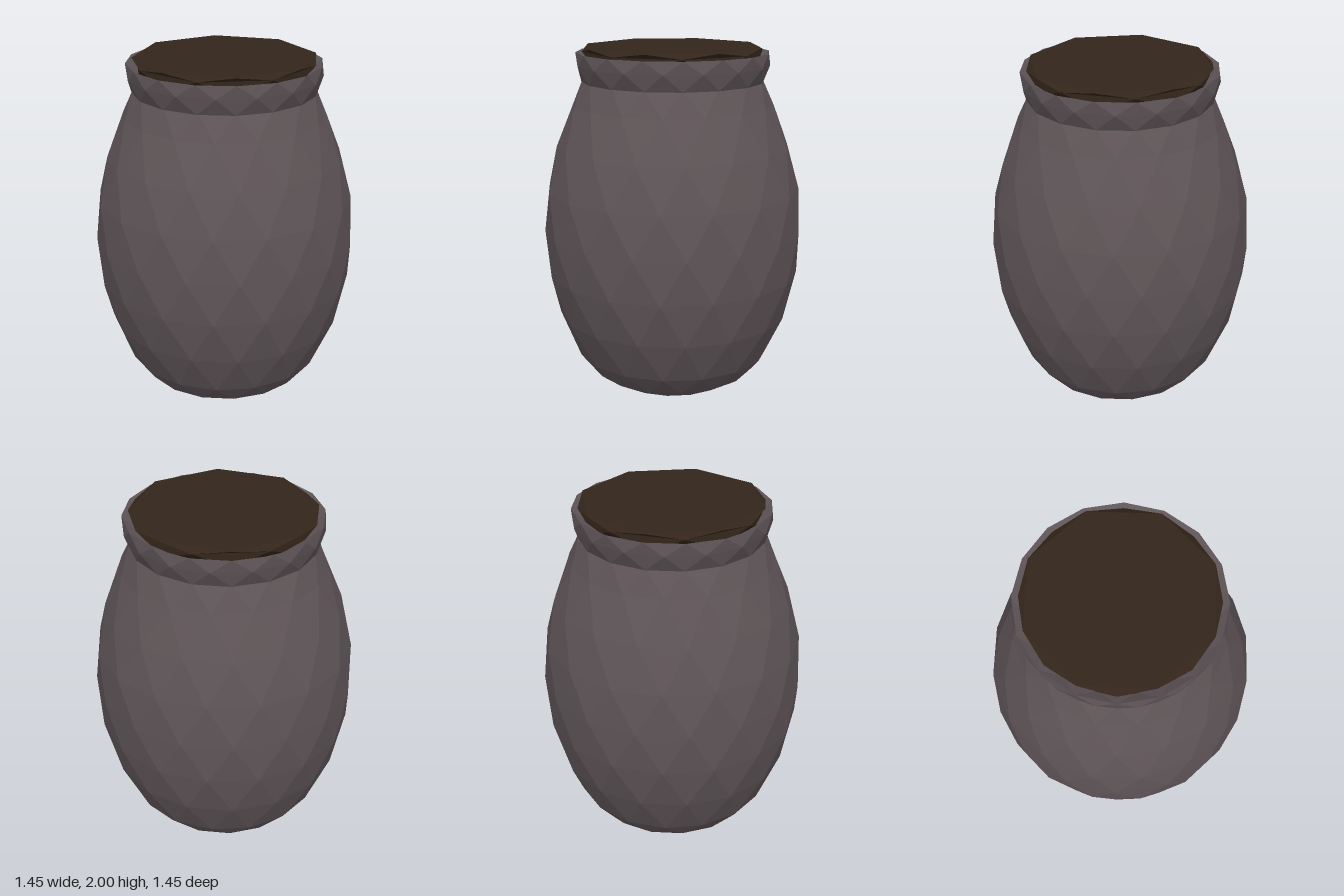
import * as THREE from 'three';

// Faceted surface of revolution: each ring is [radius, height], and every
// other ring is turned by half a step so the facets form diamonds.
function diamondShell(name, rings, sides, firstTurn, color) {
  const positions = [];
  const turn = (i) => ((i + firstTurn) % 2) / 2;
  const point = (i, j) => {
    const angle = ((j + turn(i)) / sides) * Math.PI * 2;
    const [r, y] = rings[i];
    return [r * Math.sin(angle), y, r * Math.cos(angle)];
  };
  const isTip = (i) => rings[i][0] === 0;
  for (let i = 0; i < rings.length - 1; i++) {
    const shift = turn(i) > 0 ? 1 : 0;
    for (let j = 0; j < sides; j++) {
      const a0 = point(i, j);
      const a1 = point(i, j + 1);
      const b = point(i + 1, j + shift);
      // triangle standing on the lower ring
      if (!isTip(i)) positions.push(...a0, ...a1, ...b);
      // triangle hanging from the upper ring
      if (!isTip(i + 1)) {
        if (shift) positions.push(...a0, ...b, ...point(i + 1, j));
        else positions.push(...b, ...a1, ...point(i + 1, j + 1));
      }
    }
  }
  const geometry = new THREE.BufferGeometry();
  geometry.setAttribute('position', new THREE.Float32BufferAttribute(positions, 3));
  geometry.computeVertexNormals();
  const material = new THREE.MeshStandardMaterial({ color, flatShading: true, side: THREE.DoubleSide });
  const mesh = new THREE.Mesh(geometry, material);
  mesh.name = name;
  return mesh;
}

export function createModel() {
  const model = new THREE.Group();
  model.name = 'pot';
  const clay = 0x5f5558;
  const wood = 0x33251a;

  // Rounded belly, from the shallow bottom point up into the neck
  const belly = [
    [0, 0], [0.335, 0.07], [0.46, 0.14], [0.55, 0.25], [0.65, 0.48], [0.71, 0.73],
    [0.727, 0.97], [0.71, 1.21], [0.65, 1.45], [0.56, 1.68], [0.5, 1.82], [0.49, 1.9],
  ];
  model.add(diamondShell('body', belly, 16, 0, clay));

  // Flared collar: underside, outer wall, lip and inner slope
  const collar = [[0.46, 1.8], [0.505, 1.81], [0.535, 1.9], [0.535, 1.97], [0.47, 1.93]];
  model.add(diamondShell('collar', collar, 16, 1, clay));

  // Dark stopper with a bevelled edge and flat octagonal top
  const stopper = [[0.47, 1.9], [0.5, 1.975], [0.5, 2], [0, 2]];
  model.add(diamondShell('stopper', stopper, 8, 1, wood));

  return model;
}
